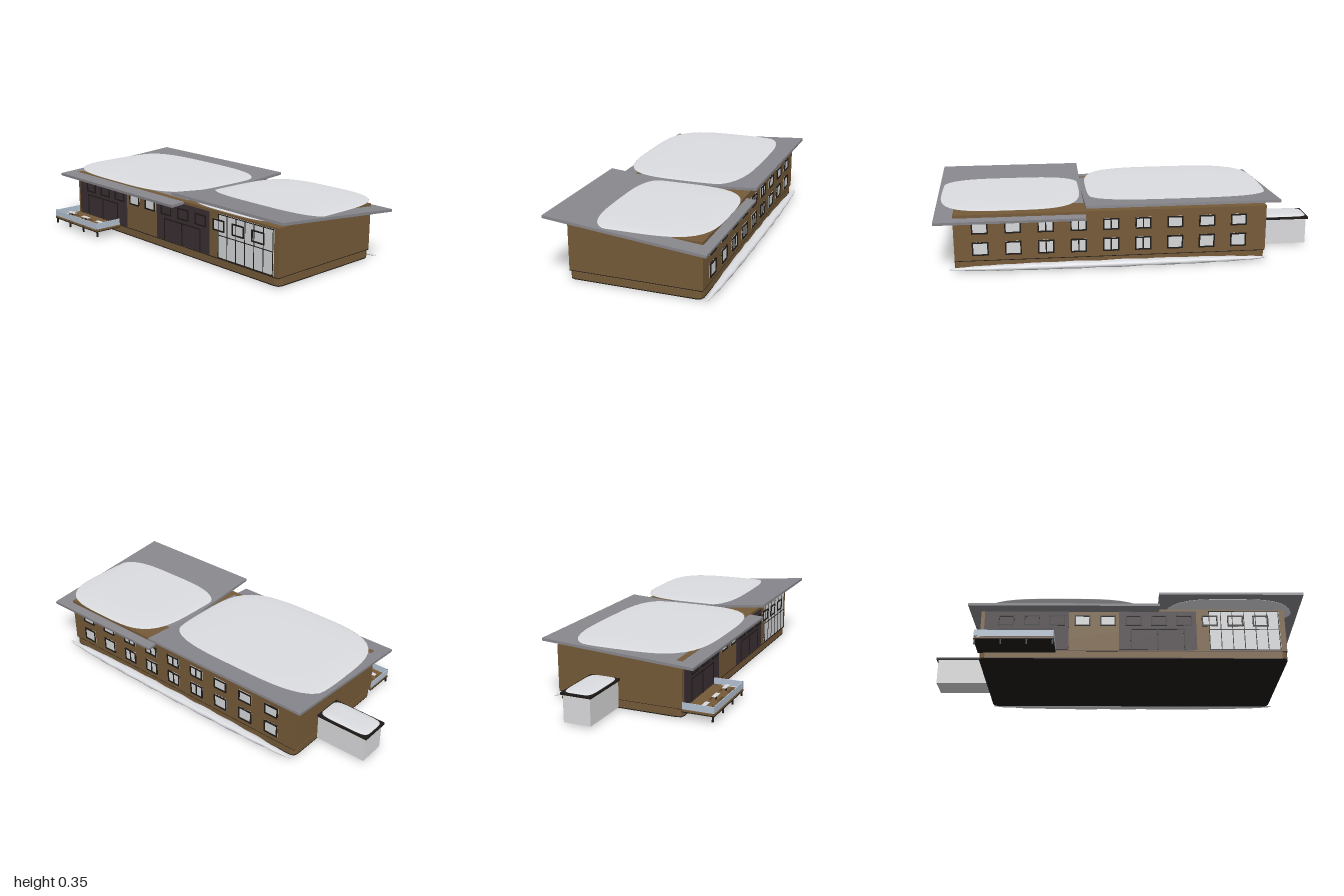
import * as THREE from 'three';

const mat = (name, color) => {
  const m = new THREE.MeshStandardMaterial({ color });
  m.name = name;
  return m;
};

export function createModel() {
  const root = new THREE.Group();
  root.name = 'lodge';
  const wood = mat('brown wood', 0x755a38);
  const panel = mat('dark panel', 0x3b3033);
  const frame = mat('black frame', 0x1e1a17);
  const roofGrey = mat('roof grey', 0x87878d);
  const snow = mat('snow white', 0xdcdde1);
  const plaster = mat('white plaster', 0xdadadc);
  const glass = mat('window glass', 0xd6d8da);
  const rail = mat('blue rail glass', 0xb4c2d2);

  const add = (name, geo, m, parent = root) => {
    const mesh = new THREE.Mesh(geo, m);
    mesh.name = name;
    parent.add(mesh);
    return mesh;
  };
  // Box given by its lower and upper limits on each axis
  const box = (name, m, x0, x1, y0, y1, z0, z1, parent = root) => {
    const mesh = add(name, new THREE.BoxGeometry(x1 - x0, y1 - y0, z1 - z0), m, parent);
    mesh.position.set((x0 + x1) / 2, (y0 + y1) / 2, (z0 + z1) / 2);
    return mesh;
  };
  const group = (name) => {
    const g = new THREE.Group();
    g.name = name;
    root.add(g);
    return g;
  };

  // Rounded plinth, underside and main walls
  const plinth = (name, m, y0, y1, inset) => {
    const x0 = -0.71 + inset, x1 = 0.908 - inset, z0 = -0.398 + inset, z1 = 0.283 - inset, r = 0.03;
    const s = new THREE.Shape();
    s.moveTo(x0 + r, -z1);
    s.lineTo(x1 - r, -z1).quadraticCurveTo(x1, -z1, x1, -z1 + r);
    s.lineTo(x1, -z0 - r).quadraticCurveTo(x1, -z0, x1 - r, -z0);
    s.lineTo(x0 + r, -z0).quadraticCurveTo(x0, -z0, x0, -z0 - r);
    s.lineTo(x0, -z1 + r).quadraticCurveTo(x0, -z1, x0 + r, -z1);
    const geo = new THREE.ExtrudeGeometry(s, { depth: y1 - y0, bevelEnabled: false, curveSegments: 2 });
    add(name, geo.rotateX(-Math.PI / 2).translate(0, y0, 0), m);
  };
  plinth('underside', frame, 0.008, 0.013, 0);
  plinth('plinth', wood, 0.013, 0.05, 0);
  box('wallSeam', frame, -0.708, 0.906, 0.049, 0.053, -0.399, 0.284);
  box('walls', wood, -0.71, 0.905, 0.053, 0.296, -0.4, 0.284);

  // Two opposing tilted roof slabs
  const roof = (name, x0, x1, yFront, yBack) => {
    const z0 = -0.45, z1 = 0.365, d = z1 - z0, t = 0.014;
    const geo = new THREE.BoxGeometry(x1 - x0, t, Math.hypot(d, yBack - yFront));
    const mesh = add(name, geo, roofGrey);
    mesh.position.set((x0 + x1) / 2, (yFront + yBack - t) / 2, (z0 + z1) / 2);
    mesh.rotation.x = Math.atan2(yBack - yFront, d);
  };
  roof('rightRoof', -0.77, 0.237, 0.289, 0.34);
  roof('leftRoof', 0.235, 1, 0.357, 0.276);

  // Flattened pillow with a rounded square outline
  const pillow = (name, x0, x1, y0, y1, z0, z1, n = 3.6, wobble = 0) => {
    const geo = new THREE.SphereGeometry(1, 64, 24);
    const p = geo.attributes.position;
    for (let i = 0; i < p.count; i++) {
      const x = p.getX(i), y = p.getY(i), z = p.getZ(i), r = Math.hypot(x, z);
      let k = 0;
      if (r > 1e-5) {
        const c = Math.abs(x / r), s = Math.abs(z / r);
        k = Math.pow(r, 0.6) / Math.pow(c ** n + s ** n, 1 / n) / r;
      }
      const w = 1 - wobble * (0.5 + 0.5 * Math.sin(x * 31));
      p.setXYZ(i, (x0 + x1) / 2 + x * k * (x1 - x0) / 2,
        (y0 + y1) / 2 + y * w * (y1 - y0) / 2, (z0 + z1) / 2 + z * k * w * (z1 - z0) / 2);
    }
    geo.computeVertexNormals();
    add(name, geo, snow);
  };
  pillow('rightRoofSnow', -0.75, 0.213, 0.316, 0.336, -0.435, 0.347);
  pillow('leftRoofSnow', 0.25, 0.98, 0.316, 0.336, -0.435, 0.347);
  pillow('backSnowBank', -0.715, 0.935, 0.002, 0.036, -0.455, -0.395, 2.2, 0.2);

  // Side shed with its own snow cap
  box('shedWalls', plaster, -0.99, -0.71, 0.012, 0.152, -0.205, -0.06);
  box('shedRoof', frame, -1, -0.71, 0.152, 0.164, -0.213, -0.05);
  pillow('shedSnow', -0.992, -0.715, 0.156, 0.174, -0.205, -0.056, 6);

  // Window: four frame bars around a pane, optional centre bar
  const wallWindow = (parent, x, y0, y1, z, dir, pane, mullion) => {
    const w = 0.042, b = 0.007;
    const slab = (name, m, a, c, d, e, depth) =>
      box(name, m, x + a, x + c, d, e, Math.min(z, z + dir * depth), Math.max(z, z + dir * depth), parent);
    if (pane) slab('windowPane', pane, -w, w, y0, y1, 0.003);
    slab('windowFrame', frame, -w, w, y0, y0 + b, 0.007);
    slab('windowFrame', frame, -w, w, y1 - b, y1, 0.007);
    slab('windowFrame', frame, -w, -w + b, y0, y1, 0.007);
    slab('windowFrame', frame, w - b, w, y0, y1, 0.007);
    if (mullion) slab('windowMullion', frame, -0.003, 0.003, y0, y1, 0.007);
  };

  // Front: dark bays, glazed bay and a row of small windows
  const front = group('frontFacade');
  for (const [x0, x1] of [[-0.69, -0.243], [0.022, 0.433]]) {
    box('darkBay', panel, x0, x1, 0.056, 0.282, 0.28, 0.2885, front);
    const c = (x0 + x1) / 2;
    for (const x of [c - 0.14, c, c + 0.14])
      box('bayPost', frame, x - 0.003, x + 0.003, 0.056, 0.175, 0.28, 0.291, front);
    box('bayRail', frame, c - 0.143, c + 0.143, 0.172, 0.178, 0.28, 0.291, front);
  }
  box('glazedBay', glass, 0.5, 0.875, 0.056, 0.285, 0.28, 0.2875, front);
  for (let i = 0; i <= 6; i++) {
    const x = 0.502 + i * 0.0615;
    box('glazingBar', frame, x - 0.002, x + 0.002, 0.056, 0.285, 0.28, 0.2895, front);
  }
  for (const y of [0.058, 0.175, 0.283])
    box('glazingRail', frame, 0.5, 0.875, y - 0.002, y + 0.002, 0.28, 0.2895, front);
  for (let i = 0; i < 11; i++) {
    const x = -0.575 + i * 0.135;
    const inBay = x < -0.25 || (x > 0.03 && x < 0.43);
    wallWindow(front, x, 0.195, 0.256, 0.2855, 1, inBay ? null : glass, false);
  }

  // Back: two rows of nine windows
  const back = group('backWindows');
  for (let i = 0; i < 9; i++)
    for (const [y0, y1] of [[0.08, 0.152], [0.195, 0.256]])
      wallWindow(back, 0.773 - i * 0.167, y0, y1, -0.4, -1, glass, i > 1 && i < 6);

  // Terrace on legs with glass rails and three tables
  const terrace = group('terrace');
  box('terraceDeck', wood, -0.715, -0.31, 0.043, 0.052, 0.28, 0.45, terrace);
  box('deckEdge', frame, -0.716, -0.309, 0.04, 0.044, 0.28, 0.451, terrace);
  box('frontRail', rail, -0.715, -0.31, 0.056, 0.09, 0.446, 0.45, terrace);
  for (const x of [-0.715, -0.314])
    box('sideRail', rail, x, x + 0.004, 0.056, 0.09, 0.284, 0.45, terrace);
  for (let i = 0; i < 4; i++) {
    const x = -0.71 + i * 0.1317;
    box('terraceLeg', frame, x - 0.004, x + 0.004, 0.012, 0.042, 0.438, 0.446, terrace);
    box('railPost', frame, x - 0.002, x + 0.002, 0.05, 0.091, 0.444, 0.449, terrace);
  }
  for (const x of [-0.65, -0.513, -0.375]) {
    box('tableTop', plaster, x - 0.03, x + 0.03, 0.072, 0.075, 0.368, 0.39, terrace);
    box('tableLeg', frame, x - 0.004, x + 0.004, 0.052, 0.072, 0.375, 0.383, terrace);
    for (const z of [0.355, 0.4])
      box('bench', wood, x - 0.03, x + 0.03, 0.052, 0.063, z - 0.004, z + 0.004, terrace);
  }
  return root;
}
